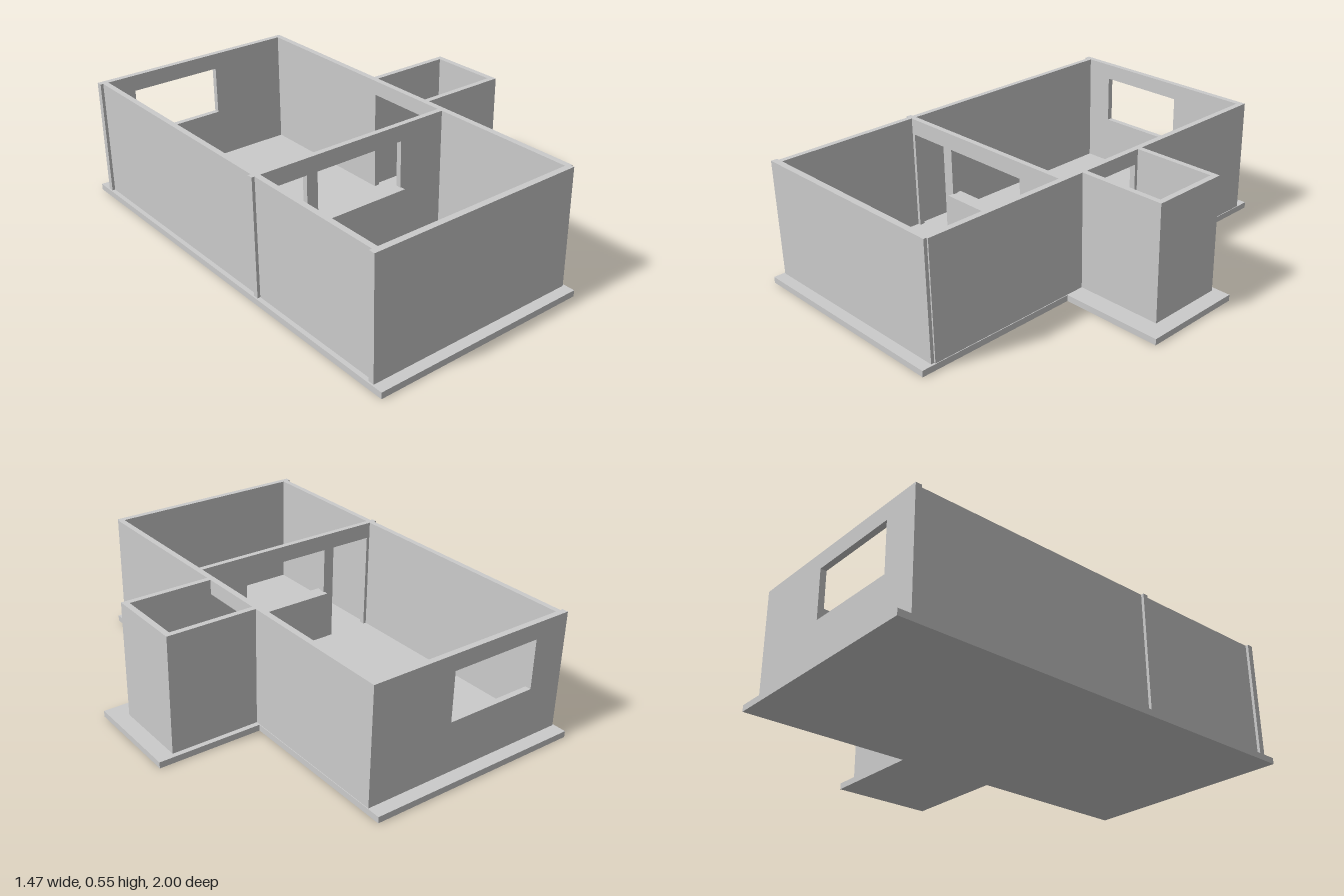
import * as THREE from 'three';

const FLOOR = 0.028, TOP = 0.553;
const material = new THREE.MeshStandardMaterial({ color: 0xcccccc, flatShading: true });

const polygon = (points) => new THREE.Shape(points.map(([x, y]) => new THREE.Vector2(x, y)));

// Wall elevation from a to b; doors are [from, to, top], windows [from, to, bottom, top]
function wallGeometry(a, b, thickness, doors = [], windows = []) {
  const points = [[a, FLOOR]];
  for (const [d0, d1, top] of doors) points.push([d0, FLOOR], [d0, top], [d1, top], [d1, FLOOR]);
  points.push([b, FLOOR], [b, TOP], [a, TOP]);
  const shape = polygon(points);
  for (const [w0, w1, y0, y1] of windows) {
    shape.holes.push(polygon([[w0, y0], [w0, y1], [w1, y1], [w1, y0]]));
  }
  return new THREE.ExtrudeGeometry(shape, { depth: thickness, bevelEnabled: false });
}

// Plan outline in x, z raised from y0 to y1
function planGeometry(points, y0, y1) {
  const shape = polygon(points.map(([x, z]) => [x, -z]));
  const geometry = new THREE.ExtrudeGeometry(shape, { depth: y1 - y0, bevelEnabled: false });
  return geometry.rotateX(-Math.PI / 2).translate(0, y0, 0);
}

export function createModel() {
  const group = new THREE.Group();
  group.name = 'roofless house';
  const add = (name, geometry) => {
    const mesh = new THREE.Mesh(geometry, material);
    mesh.name = name;
    group.add(mesh);
  };
  const wallAlongX = (name, x0, x1, z0, z1, doors, windows) =>
    add(name, wallGeometry(x0, x1, z1 - z0, doors, windows).translate(0, 0, z0));
  const wallAlongZ = (name, x0, x1, z0, z1, doors, windows) =>
    add(name, wallGeometry(z0, z1, x1 - x0, doors, windows).rotateY(-Math.PI / 2).translate(x1, 0, 0));

  // Foundation under the house and its side room
  add('floorSlab', planGeometry([
    [-0.735, -1], [0.26, -1], [0.26, -0.235], [0.735, -0.235],
    [0.735, 0.235], [0.26, 0.235], [0.26, 1], [-0.735, 1],
  ], 0, FLOOR));

  // Cross walls, their ends standing proud of the right-hand long wall
  wallAlongX('frontWall', -0.728, 0.25, 0.922, 0.95);
  wallAlongX('backWall', -0.728, 0.257, -0.938, -0.911, [], [[-0.563, -0.135, 0.257, 0.48]]);
  wallAlongX('partitionWall', -0.728, 0.23, 0.23, 0.255,
    [[-0.675, -0.477, 0.48]], [[-0.425, 0.005, 0.257, 0.48]]);

  // Long walls
  wallAlongZ('rightWall', -0.715, -0.69, -0.911, 0.922);
  wallAlongZ('leftWall', 0.23, 0.257, -0.911, 0.935, [[-0.172, 0.122, 0.487]]);

  // Three-sided side room
  add('sideRoomWalls', planGeometry([
    [0.257, -0.212], [0.662, -0.212], [0.662, 0.147], [0.257, 0.147],
    [0.257, 0.122], [0.636, 0.122], [0.636, -0.187], [0.257, -0.187],
  ], FLOOR, TOP));

  // Ledge through the partition window
  add('windowLedge', new THREE.BoxGeometry(0.44, 0.02, 0.07).translate(-0.21, 0.257, 0.243));

  return group;
}
